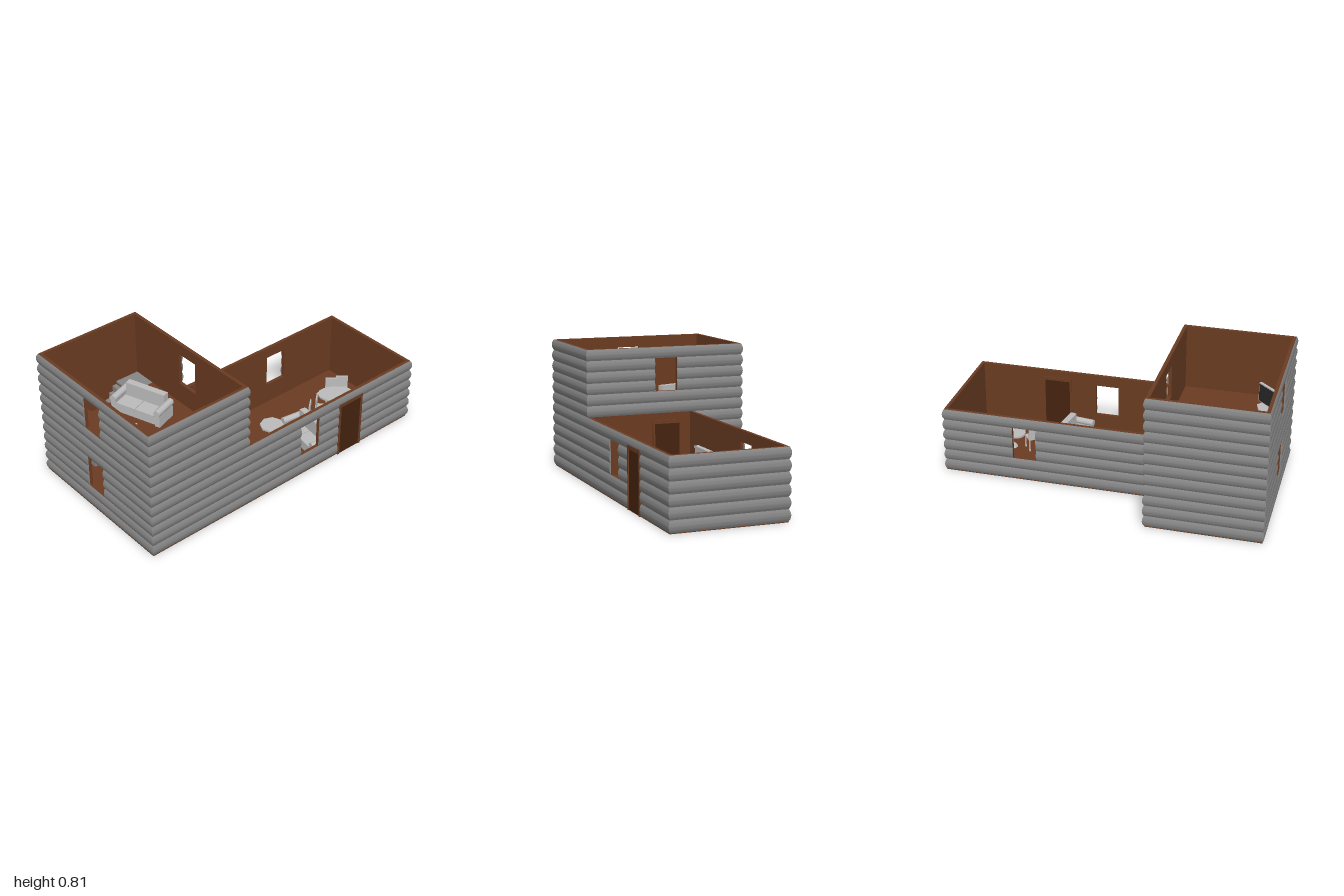
import * as THREE from 'three';
import { toCreasedNormals } from 'three/addons/utils/BufferGeometryUtils.js';

const mat = (name, color) => Object.assign(new THREE.MeshStandardMaterial({ color }), { name });
const M = {
  log: mat('grey log', 0x868686),
  wood: mat('brown wood', 0x6b3c22),
  door: mat('dark door wood', 0x45230f),
  pale: mat('pale furniture', 0xbcbcbc),
  kitchen: mat('kitchen yellow', 0x806000),
  dark: mat('dark screen', 0x2a2a2a),
};

const ROW = 0.0675, BULGE = 0.01, STOREY = ROW * 6, THICK = 0.02;

function add(parent, name, geo, material, x = 0, y = 0, z = 0) {
  const m = new THREE.Mesh(geo, material);
  m.name = name;
  m.position.set(x, y, z);
  parent.add(m);
  return m;
}
function group(parent, name, x = 0, y = 0, z = 0, ry = 0) {
  const g = new THREE.Group();
  g.name = name;
  g.position.set(x, y, z);
  g.rotation.y = ry;
  parent.add(g);
  return g;
}
// box given by its limits
const box = (parent, name, material, x0, x1, y0, y1, z0, z1) =>
  add(parent, name, new THREE.BoxGeometry(x1 - x0, y1 - y0, z1 - z0), material,
    (x0 + x1) / 2, (y0 + y1) / 2, (z0 + z1) / 2);

// one half-round log along x, with optional mitred ends
function logGeometry(x0, x1, mitre0, mitre1) {
  const shape = new THREE.Shape();
  shape.moveTo(0, 0);
  for (let i = 1; i <= 10; i++) {
    const t = i / 10;
    shape.lineTo(BULGE * 4 * t * (1 - t), ROW * t);
  }
  const geo = new THREE.ExtrudeGeometry(shape, { depth: x1 - x0, bevelEnabled: false });
  geo.rotateY(-Math.PI / 2).translate(x1, 0, 0);
  const p = geo.attributes.position, mid = (x0 + x1) / 2;
  for (let i = 0; i < p.count; i++) {
    const x = p.getX(i);
    if (x < mid && mitre0) p.setX(i, x - p.getZ(i));
    if (x > mid && mitre1) p.setX(i, x + p.getZ(i));
  }
  return toCreasedNormals(geo, 0.6);
}

const windowAt = (x) => ({ x0: x - 0.0725, x1: x + 0.0725, y0: ROW * 2, y1: ROW * 5 });
const doorAt = (x) => ({ x0: x - 0.093, x1: x + 0.093, y0: 0, y1: 0.36, door: true });

// one storey of one wall: local x runs along it and +z faces outside
function wall(root, name, floor, x, z, ry, length, o = {}) {
  const { openings = [], mitre = [true, true], logs = [-length / 2, length / 2] } = o;
  const g = group(root, name, x, 0.005 + floor * STOREY, z, ry);
  const h = length / 2;
  const shape = new THREE.Shape();
  shape.moveTo(-h, 0).lineTo(h, 0).lineTo(h, STOREY).lineTo(-h, STOREY);
  for (const a of openings) {
    const y0 = Math.max(a.y0, 0.001);
    const hole = new THREE.Path();
    hole.moveTo(a.x0, y0).lineTo(a.x0, a.y1).lineTo(a.x1, a.y1).lineTo(a.x1, y0);
    shape.holes.push(hole);
  }
  add(g, 'innerWall', new THREE.ExtrudeGeometry(shape, { depth: THICK, bevelEnabled: false }), M.wood, 0, 0, -THICK);
  for (let r = 0; r < 6; r++) {
    const mid = (r + 0.5) * ROW;
    const cuts = openings.filter((a) => a.y0 < mid && a.y1 > mid + ROW / 4 && a.x0 > logs[0] && a.x1 < logs[1])
      .sort((a, b) => a.x0 - b.x0);
    const ends = [logs[0], ...cuts.flatMap((a) => [a.x0, a.x1]), logs[1]];
    for (let i = 0; i < ends.length; i += 2) {
      add(g, 'log', logGeometry(ends[i], ends[i + 1], i === 0 && mitre[0], i + 2 === ends.length && mitre[1]),
        M.log, 0, r * ROW, 0);
    }
  }
  // door panel with its frame
  for (const a of openings.filter((a) => a.door)) {
    const d = group(g, 'doorway');
    for (const [x0, x1] of [[a.x0, a.x0 + 0.013], [a.x1 - 0.013, a.x1]])
      box(d, 'doorJamb', M.wood, x0, x1, -0.003, a.y1, -0.025, BULGE + 0.001);
    box(d, 'doorHead', M.wood, a.x0, a.x1, a.y1 - 0.02, a.y1 + 0.002, -0.025, BULGE + 0.001);
    box(d, 'doorPanel', M.door, a.x0 + 0.013, a.x1 - 0.013, -0.003, a.y1 - 0.02, -0.022, 0.006);
  }
}

// sofa: long side on z, backrest on +x
function sofa(root, x, y, z, ry) {
  const g = group(root, 'sofa', x, y, z, ry);
  box(g, 'sofaBase', M.pale, -0.07, 0.075, 0.01, 0.05, -0.15, 0.15);
  box(g, 'sofaBack', M.pale, 0.035, 0.075, 0.05, 0.145, -0.13, 0.13);
  for (const s of [-1, 1]) {
    box(g, 'seatCushion', M.pale, -0.072, 0.022, 0.05, 0.07, s * 0.064 - 0.062, s * 0.064 + 0.062);
    box(g, 'sofaArm', M.pale, -0.07, 0.07, 0, 0.09, s * 0.148 - 0.016, s * 0.148 + 0.016);
    add(g, 'armRoll', new THREE.CylinderGeometry(0.021, 0.021, 0.15, 12).rotateZ(Math.PI / 2), M.pale, 0, 0.09, s * 0.148);
  }
}

// chair: backrest on -z
function chair(root, x, z, ry) {
  const g = group(root, 'chair', x, 0.008, z, ry);
  box(g, 'chairSeat', M.pale, -0.038, 0.038, 0.075, 0.085, -0.038, 0.038);
  box(g, 'chairBack', M.pale, -0.038, 0.038, 0.085, 0.165, -0.038, -0.03);
  for (const sx of [-1, 1]) for (const sz of [-1, 1])
    box(g, 'chairLeg', M.pale, sx * 0.033 - 0.004, sx * 0.033 + 0.004, 0, 0.075, sz * 0.033 - 0.004, sz * 0.033 + 0.004);
}

// round-topped pedestal table
function table(root, name, x, y, z, r, h, sides, stretch = 1, ry = 0) {
  const g = group(root, name, x, y, z, ry);
  add(g, 'tableTop', new THREE.CylinderGeometry(r, r, 0.012, sides), M.pale, 0, h - 0.006, 0).scale.x = stretch;
  add(g, 'tableStem', new THREE.CylinderGeometry(0.014, 0.014, h - 0.012, 10), M.pale, 0, (h - 0.012) / 2, 0);
  add(g, 'tableFoot', new THREE.CylinderGeometry(r * 0.4, r * 0.5, 0.01, sides), M.pale, 0, 0.005, 0);
  return g;
}

export function createModel() {
  const root = new THREE.Group();
  root.name = 'logCabin';
  const Q = Math.PI / 2;

  // ground storey walls
  wall(root, 'frontWall', 0, 0, 0.5, 0, 1.98, { openings: [windowAt(0.1625), doorAt(0.485)] });
  wall(root, 'rightEndWall', 0, 0.99, 0.16, Q, 0.68);
  wall(root, 'hallBackWall', 0, 0.3375, -0.18, Math.PI, 1.305, { openings: [windowAt(-0.155)], mitre: [true, false] });
  wall(root, 'partitionWall', 0, -0.315, 0, Q, 1, { openings: [doorAt(0.005)], logs: [0.18, 0.5], mitre: [false, true] });
  // tower walls
  for (const floor of [0, 1]) {
    wall(root, 'towerBackWall', floor, -0.6525, -0.5, Math.PI, 0.675);
    wall(root, 'towerLeftWall', floor, -0.99, 0, -Q, 1, { openings: [windowAt(0)] });
  }
  wall(root, 'towerFrontWall', 1, -0.6525, 0.5, 0, 0.675);
  wall(root, 'towerRightWall', 1, -0.315, 0, Q, 1, { openings: [windowAt(0)] });

  // floors, the upper one open above the stairs
  box(root, 'towerFloor', M.wood, -0.99, -0.315, 0, 0.008, -0.5, 0.5);
  box(root, 'hallFloor', M.wood, -0.315, 0.99, 0, 0.008, -0.18, 0.5);
  box(root, 'upperFloor', M.wood, -0.975, -0.33, 0.4, 0.412, -0.33, 0.485);
  box(root, 'upperFloorEdge', M.wood, -0.975, -0.78, 0.4, 0.412, -0.485, -0.33);

  // stairs and landing
  const stairs = group(root, 'stairs');
  for (let i = 0; i < 10; i++) {
    const x = -0.78 + i * 0.029, y = 0.008 + (i + 1) * 0.0385;
    box(stairs, 'step', M.log, x, x + 0.029, Math.max(0.008, y - 0.07), y, -0.48, -0.33);
  }
  box(stairs, 'landing', M.log, -0.49, -0.335, 0.4, 0.413, -0.48, -0.33);

  // kitchen counters and stove in the tower
  const kitchen = group(root, 'kitchen');
  box(kitchen, 'sideCounter', M.kitchen, -0.6, -0.53, 0, 0.13, 0.05, 0.48);
  box(kitchen, 'frontCounter', M.kitchen, -0.82, -0.6, 0, 0.13, 0.41, 0.48);
  box(kitchen, 'wallCounter', M.kitchen, -0.97, -0.9, 0, 0.13, 0.1, 0.17);
  box(kitchen, 'wallCounter', M.kitchen, -0.97, -0.9, 0, 0.13, 0.25, 0.4);
  box(kitchen, 'stove', M.log, -0.97, -0.89, 0, 0.135, 0.17, 0.25);

  // fireplace with a splayed hearth
  const fire = group(root, 'fireplace', -0.03, 0, -0.162);
  box(fire, 'chimneyBreast', M.pale, -0.15, 0.15, 0, 0.21, 0, 0.025);
  box(fire, 'mantel', M.pale, -0.153, 0.153, 0.205, 0.22, 0, 0.032);
  for (const s of [-1, 1]) box(fire, 'surround', M.pale, s * 0.075 - 0.02, s * 0.075 + 0.02, 0, 0.15, 0.025, 0.04);
  box(fire, 'surroundTop', M.pale, -0.095, 0.095, 0.15, 0.18, 0.025, 0.04);
  box(fire, 'fireOpening', M.log, -0.055, 0.055, 0.02, 0.15, 0.025, 0.028);
  const hearth = new THREE.Shape();
  hearth.moveTo(-0.15, 0).lineTo(-0.15, -0.03).lineTo(-0.09, -0.068).lineTo(0.09, -0.068).lineTo(0.15, -0.03).lineTo(0.15, 0);
  add(fire, 'hearth', new THREE.ExtrudeGeometry(hearth, { depth: 0.03, bevelEnabled: false }).rotateX(-Q), M.pale);

  // seating
  sofa(root, 0.335, 0.008, 0.3, -0.15);
  sofa(root, -0.565, 0.412, -0.13, 0.33);
  table(root, 'sideTable', 0.2, 0.008, 0.135, 0.073, 0.1, 8);

  // dining set
  table(root, 'diningTable', 0.7, 0.008, 0.18, 0.078, 0.12, 24, 1.5, -0.7);
  chair(root, 0.485, 0.215, 0.7);
  chair(root, 0.565, 0.19, 0.7);
  chair(root, 0.725, 0.11, -0.7);
  chair(root, 0.79, 0.135, -0.7);

  // television on an upstairs table
  const tv = table(root, 'televisionStand', -0.9, 0.412, 0.13, 0.075, 0.11, 6, 1, -0.75);
  box(tv, 'televisionCase', M.pale, -0.09, 0.09, 0.115, 0.233, -0.008, 0.008);
  box(tv, 'televisionScreen', M.dark, -0.083, 0.083, 0.122, 0.226, -0.011, -0.008);
  return root;
}
